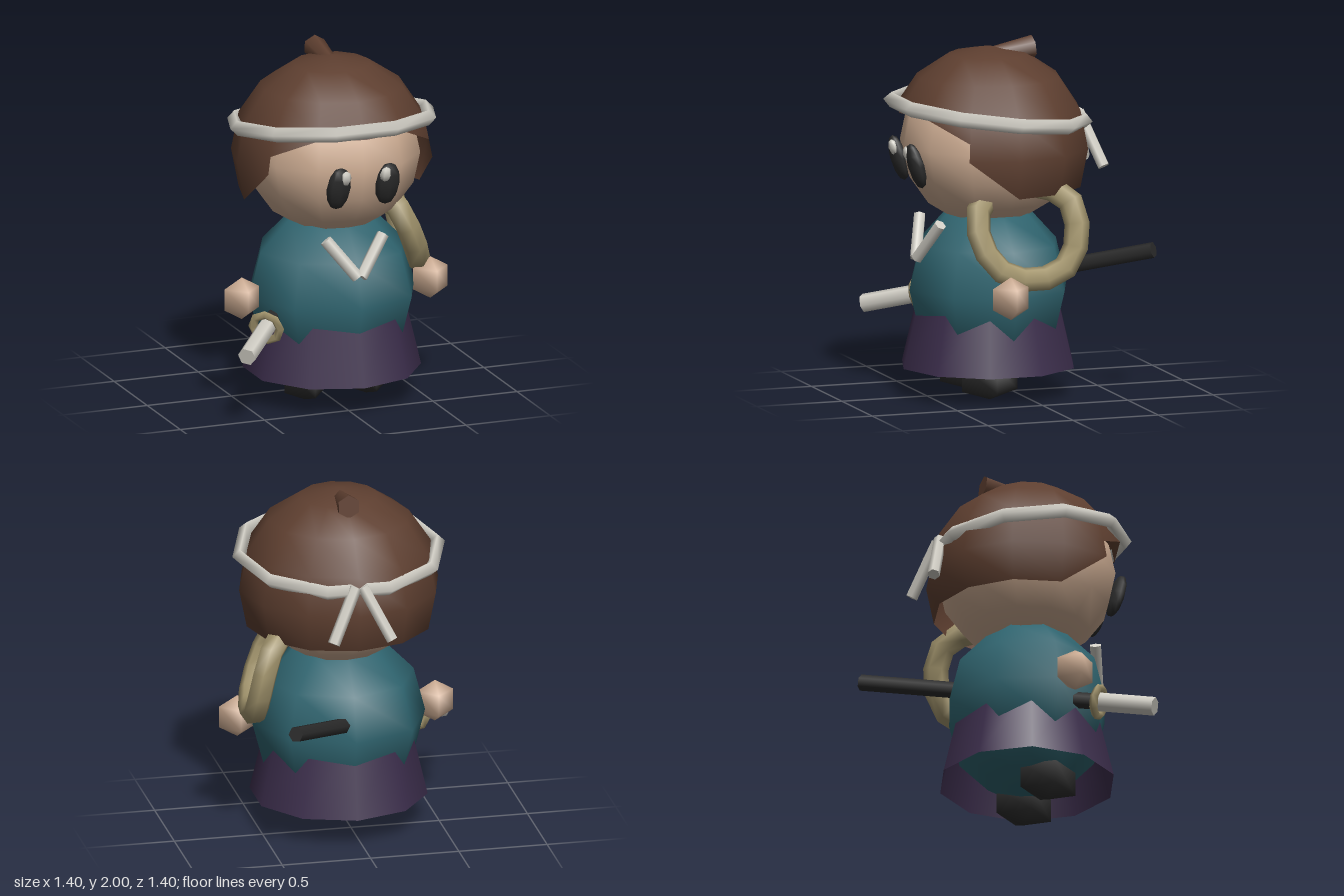
import * as THREE from 'three';

const mat = (name, color, side = THREE.FrontSide) => {
  const m = new THREE.MeshStandardMaterial({ color, side });
  m.name = name;
  return m;
};

export function createModel() {
  const skin = mat('skin', 0xcfae94);
  const brown = mat('hairBrown', 0x5e3f30, THREE.DoubleSide);
  const teal = mat('tealCloth', 0x2f646f);
  const purple = mat('purpleCloth', 0x3b2d4b, THREE.DoubleSide);
  const white = mat('offWhite', 0xd2cfc6);
  const tan = mat('ropeTan', 0xa5976f);
  const black = mat('black', 0x2b2b2b);

  const CX = 0.035, CZ = 0.155;
  const model = new THREE.Group();
  model.name = 'swordsman';

  const add = (name, geo, material, x = 0, y = 0, z = 0) => {
    const mesh = new THREE.Mesh(geo, material);
    mesh.name = name;
    mesh.position.set(x, y, z);
    model.add(mesh);
    return mesh;
  };
  const ellipsoid = (rx, ry, rz, w, h) => new THREE.SphereGeometry(1, w, h).scale(rx, ry, rz);

  // Tapered bar between two points
  const bar = (name, a, b, r0, r1, material, sides = 6) => {
    const p = new THREE.Vector3(...a), q = new THREE.Vector3(...b);
    const d = q.clone().sub(p);
    const mid = p.clone().add(q).multiplyScalar(0.5);
    const mesh = add(name, new THREE.CylinderGeometry(r1, r0, d.length(), sides), material, mid.x, mid.y, mid.z);
    mesh.quaternion.setFromUnitVectors(new THREE.Vector3(0, 1, 0), d.normalize());
    return mesh;
  };

  // Body, skirt and head
  add('body', ellipsoid(0.49, 0.5, 0.46, 8, 6), teal, CX, 0.61, CZ);
  add('skirt', new THREE.CylinderGeometry(0.4, 0.495, 0.4, 10, 1, true), purple, CX, 0.37, CZ);
  add('head', ellipsoid(0.495, 0.46, 0.495, 12, 8), skin, CX, 1.42, CZ);
  add('hair', hairGeometry(), brown, CX, 1.395, CZ);
  bar('topknot', [CX, 1.91, 0.125], [CX, 1.937, -0.108], 0.042, 0.066, brown);

  // Headband with two loose tails at the back
  const band = add('headband', new THREE.TorusGeometry(0.56, 0.042, 4, 10).rotateX(Math.PI / 2), white, CX, 1.595, CZ);
  band.scale.z = 0.965;
  band.rotation.x = -0.12;

  for (const s of [-1, 1]) {
    const side = s > 0 ? 'left' : 'right';
    bar(side + 'BandTail', [CX + s * 0.02, 1.56, -0.37], [CX + s * 0.165, 1.27, -0.465], 0.035, 0.035, white);
    bar(side + 'Collar', [CX + s * 0.17, 1.0, 0.495], [CX + s * 0.01, 0.79, 0.575], 0.035, 0.035, white);
    add(side + 'Hand', ellipsoid(0.12, 0.12, 0.12, 4, 3), skin, CX + s * 0.56, 0.633, 0.22);

    // Foot: faceted block with a shallow point underneath
    const foot = new THREE.LatheGeometry(
      [[0, 0], [1, 0.05], [1, 0.19], [0, 0.23]].map(([x, y]) => new THREE.Vector2(x, y)), 4);
    add(side + 'Foot', foot.scale(0.12, 1, 0.163), black, CX + s * 0.182, 0.005, 0.208);

    // Eye with highlight, leaning along the face
    const eye = add(side + 'Eye', ellipsoid(0.072, 0.133, 0.045, 8, 6), black, CX + s * 0.145, 1.333, 0.628);
    eye.rotation.x = 0.28;
    const glint = add(side + 'EyeHighlight', ellipsoid(0.036, 0.048, 0.025, 6, 4), white, CX + s * 0.12, 1.397, 0.668);
    glint.rotation.x = 0.28;
  }

  // Rope coil slung over the left shoulder
  const coil = new THREE.CatmullRomCurve3([
    [0.36, 1.09, 0.325], [0.44, 0.92, 0.335], [0.51, 0.77, 0.24], [0.55, 0.72, 0.06],
    [0.56, 0.79, -0.12], [0.54, 0.97, -0.19], [0.48, 1.15, -0.16], [0.37, 1.22, -0.02], [0.28, 1.2, 0.18],
  ].map((p) => new THREE.Vector3(...p)), true);
  add('ropeCoil', new THREE.TubeGeometry(coil, 14, 0.07, 6, true), tan);

  // Sword: hilt, guard and scabbard on one slanting axis through the waist
  const tip = new THREE.Vector3(-0.66, 0.425, 0.64), end = new THREE.Vector3(0.46, 0.832, -0.665);
  const along = (t) => tip.clone().lerp(end, t).toArray();
  bar('swordHilt', along(0), along(0.2), 0.052, 0.052, white);
  bar('scabbard', along(0.19), along(1), 0.045, 0.045, black);
  const guard = add('swordGuard', new THREE.TorusGeometry(0.08, 0.025, 4, 8), tan, ...along(0.19));
  guard.lookAt(end);

  return model;
}

// Bowl-shaped hair whose lower rim rises in steps to frame the face
function hairGeometry() {
  const R = 0.563, step = Math.PI / 8;
  const rings = [0, 1, 2, 3, 4, 5].map((j) => ({ y: R * Math.cos(j * step), r: R * Math.sin(j * step) }));
  const point = (k, y) => {
    let j = 0;
    while (j < 4 && rings[j + 1].y > y) j++;
    const a = rings[j], b = rings[j + 1];
    const r = a.r + (b.r - a.r) * (a.y - y) / (a.y - b.y);
    const az = k * Math.PI / 6;
    return [r * Math.sin(az), y, r * Math.cos(az)];
  };
  // Lowest height of column k, within the strip shared with column other
  const rim = (k, other) => {
    const n = Math.abs(k);
    if (n < 2) return rings[3].y;
    if (n === 2) return Math.abs(other) === 1 ? 0.1 : rings[4].y;
    return rings[5].y;
  };
  const pos = [];
  for (let k = -6; k < 6; k++) {
    for (let j = 0; j < 5; j++) {
      const corner = (c, o, row) => point(c, Math.max(rings[row].y, rim(c, o)));
      const A = corner(k, k + 1, j), B = corner(k, k + 1, j + 1);
      const C = corner(k + 1, k, j + 1), D = corner(k + 1, k, j);
      pos.push(...A, ...B, ...C, ...A, ...C, ...D);
    }
  }
  const geo = new THREE.BufferGeometry();
  geo.setAttribute('position', new THREE.Float32BufferAttribute(pos, 3));
  const nor = [];
  for (let i = 0; i < pos.length; i += 3) {
    nor.push(...new THREE.Vector3(pos[i], pos[i + 1], pos[i + 2]).normalize().toArray());
  }
  geo.setAttribute('normal', new THREE.Float32BufferAttribute(nor, 3));
  return geo;
}
